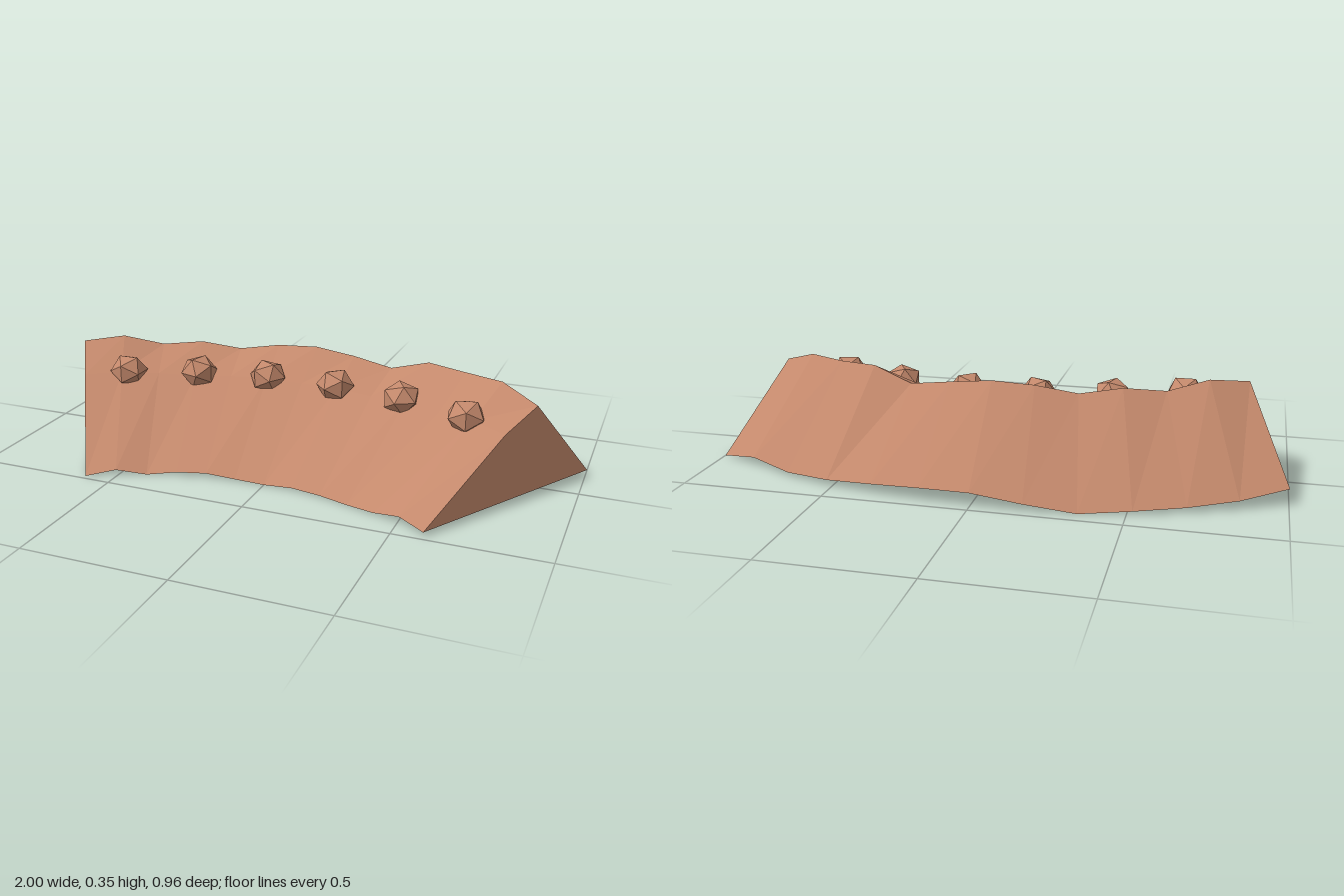
import * as THREE from 'three';

const CENTRE_Z = 1.522;           // centre of the arc the ridge follows
const RADII = [1.2, 1.55, 1.7, 2]; // inner foot, shoulder, crest, outer foot
const STEP = THREE.MathUtils.degToRad(5);

// Heights along the arc, from the right end (-x) to the left end (+x)
const HEIGHTS = [
  [0, 0.018, 0, 0.012, 0.015, 0.005, 0, 0.008, 0.005, 0, 0.005, 0.028, 0.015],
  [0.25, 0.255, 0.25, 0.245, 0.25, 0.255, 0.25, 0.25, 0.245, 0.255, 0.25, 0.255, 0.247],
  [0.335, 0.35, 0.317, 0.33, 0.31, 0.335, 0.343, 0.327, 0.306, 0.354, 0.35, 0.353, 0.31],
  [0.055, 0.03, 0.018, 0.01, 0, 0.025, 0.05, 0.048, 0.037, 0.022, 0.015, 0.033, 0],
];
const LAST = HEIGHTS[0].length - 1;

function arcPoint(radius, angle, y) {
  return [radius * Math.sin(angle), y, CENTRE_Z - radius * Math.cos(angle)];
}

// Curved bank swept from four-cornered sections, one flat facet per panel
function bankGeometry() {
  const positions = [];
  const point = (i, j) => arcPoint(RADII[j], (i - LAST / 2) * STEP, HEIGHTS[j][i]);
  const quad = (a, b, c, d) => positions.push(...a, ...b, ...c, ...a, ...c, ...d);
  for (let i = 0; i < LAST; i++) {
    for (let j = 0; j < 4; j++) {
      const k = (j + 1) % 4;
      quad(point(i, j), point(i + 1, j), point(i + 1, k), point(i, k));
    }
  }
  quad(point(LAST, 0), point(LAST, 3), point(LAST, 2), point(LAST, 1));
  quad(point(0, 0), point(0, 1), point(0, 2), point(0, 3));
  const geometry = new THREE.BufferGeometry();
  geometry.setAttribute('position', new THREE.Float32BufferAttribute(positions, 3));
  geometry.computeVertexNormals();
  return geometry;
}

export function createModel() {
  const group = new THREE.Group();
  group.name = 'curvedBank';
  const clay = new THREE.MeshStandardMaterial({ color: 0xc4896c });
  clay.name = 'clay';

  const bank = new THREE.Mesh(bankGeometry(), clay);
  bank.name = 'bank';
  group.add(bank);

  // Six faceted stones half sunk along the shoulder
  const stones = new THREE.Group();
  stones.name = 'stones';
  for (let i = 0; i < 6; i++) {
    const geometry = new THREE.IcosahedronGeometry(0.068, 0);
    geometry.rotateY(i * 1.3);
    geometry.scale(1, 0.88, 1);
    const stone = new THREE.Mesh(geometry, clay);
    stone.name = 'stone' + (i + 1);
    const angle = THREE.MathUtils.degToRad((i - 2.5) * 9.6);
    stone.position.set(...arcPoint(1.548, angle, 0.264));
    stones.add(stone);
  }
  group.add(stones);
  return group;
}
